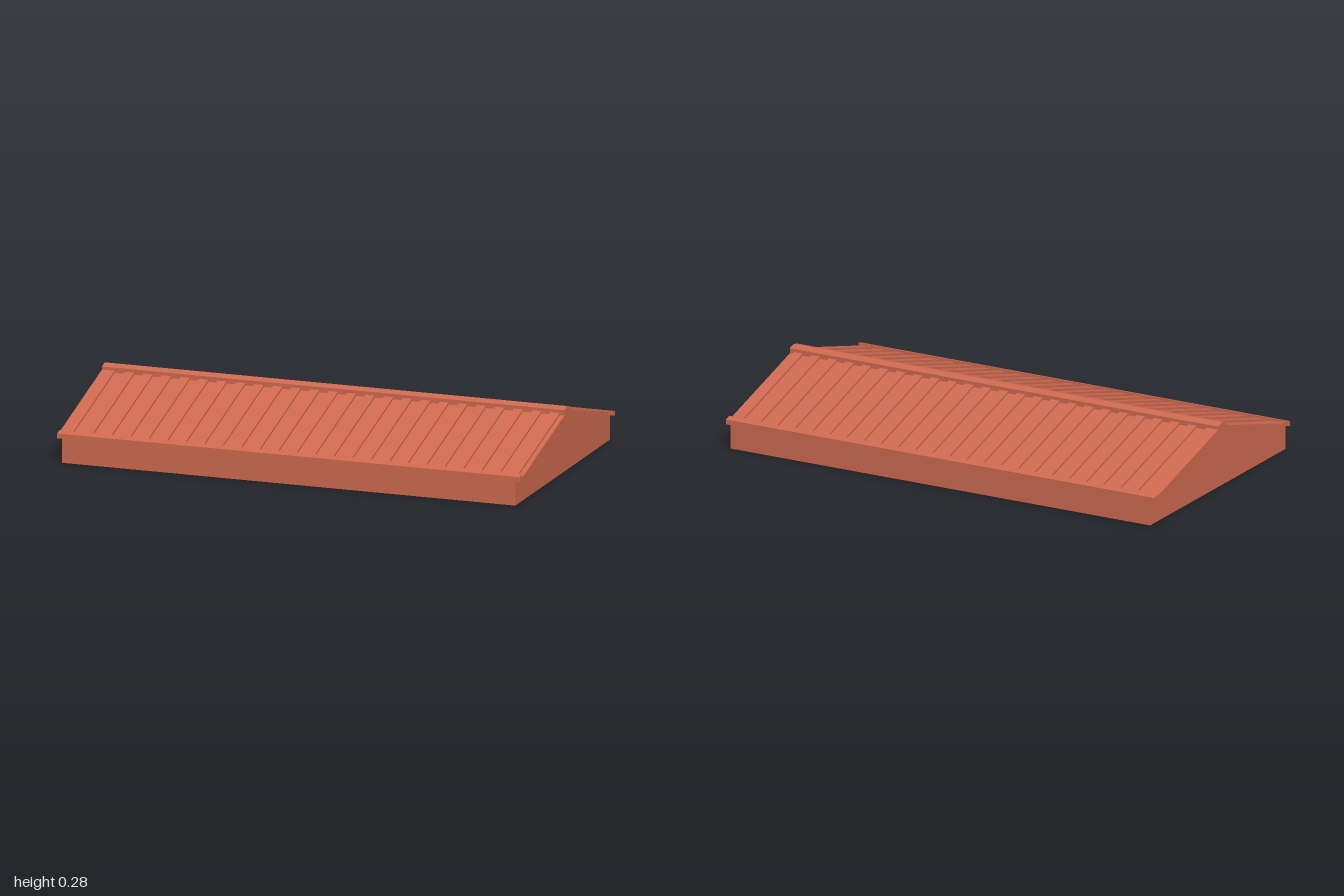
import * as THREE from 'three';

const HALF_DEPTH = 0.556, EAVE = 0.102, APEX = 0.256;
const SLOPE = (APEX - EAVE) / HALF_DEPTH;
const slopeY = (z) => APEX - SLOPE * Math.abs(z);

// Extrudes a [z, y] outline along x from x0 to x1.
function prism(points, x0, x1) {
  const shape = new THREE.Shape(points.map(([z, y]) => new THREE.Vector2(-z, y)));
  const geometry = new THREE.ExtrudeGeometry(shape, { depth: x1 - x0, bevelEnabled: false });
  return geometry.rotateY(Math.PI / 2).translate(x0, 0, 0);
}

// Outline of a band lying on one roof slope, between two heights above it.
function band(side, z0, z1, low, high) {
  return [
    [side * z0, slopeY(z0) + low], [side * z1, slopeY(z1) + low],
    [side * z1, slopeY(z1) + high], [side * z0, slopeY(z0) + high],
  ];
}

export function createModel() {
  const model = new THREE.Group();
  const terracotta = new THREE.MeshStandardMaterial({ color: 0xd06a50 });
  terracotta.name = 'terracotta';

  const add = (name, geometry, parent = model) => {
    const mesh = new THREE.Mesh(geometry, terracotta);
    mesh.name = name;
    parent.add(mesh);
  };

  // Solid gabled body
  add('gableBody', prism([
    [-HALF_DEPTH, 0], [HALF_DEPTH, 0], [HALF_DEPTH, EAVE], [0, APEX], [-HALF_DEPTH, EAVE],
  ], -0.98, 0.98));

  for (const [side, label] of [[1, 'front'], [-1, 'back']]) {
    const slope = new THREE.Group();
    slope.name = label + 'Slope';
    model.add(slope);

    // Thin sheet overhanging both gables
    add('roofSheet', prism(band(side, 0, HALF_DEPTH, 0, 0.003), -1, 1), slope);

    // Wide end rib, then evenly spaced narrow ribs
    add('endRib', prism(band(side, 0.02, 0.54, 0.001, 0.012), -1, -0.945), slope);
    for (let i = 0; i < 24; i++) {
      const x = -0.9 + i * 0.08;
      add('rib', prism(band(side, 0.02, 0.54, 0.001, 0.012), x, x + 0.04), slope);
    }

    // Raised lip along the eave
    add('eaveLip', prism(band(side, 0.53, 0.558, 0, 0.02), -1, 1), slope);
  }

  // Ridge cap
  add('ridgeCap', prism([
    [-0.033, 0.247], [0.033, 0.247], [0.033, 0.272], [0, 0.281], [-0.033, 0.272],
  ], -1, 1));

  return model;
}
